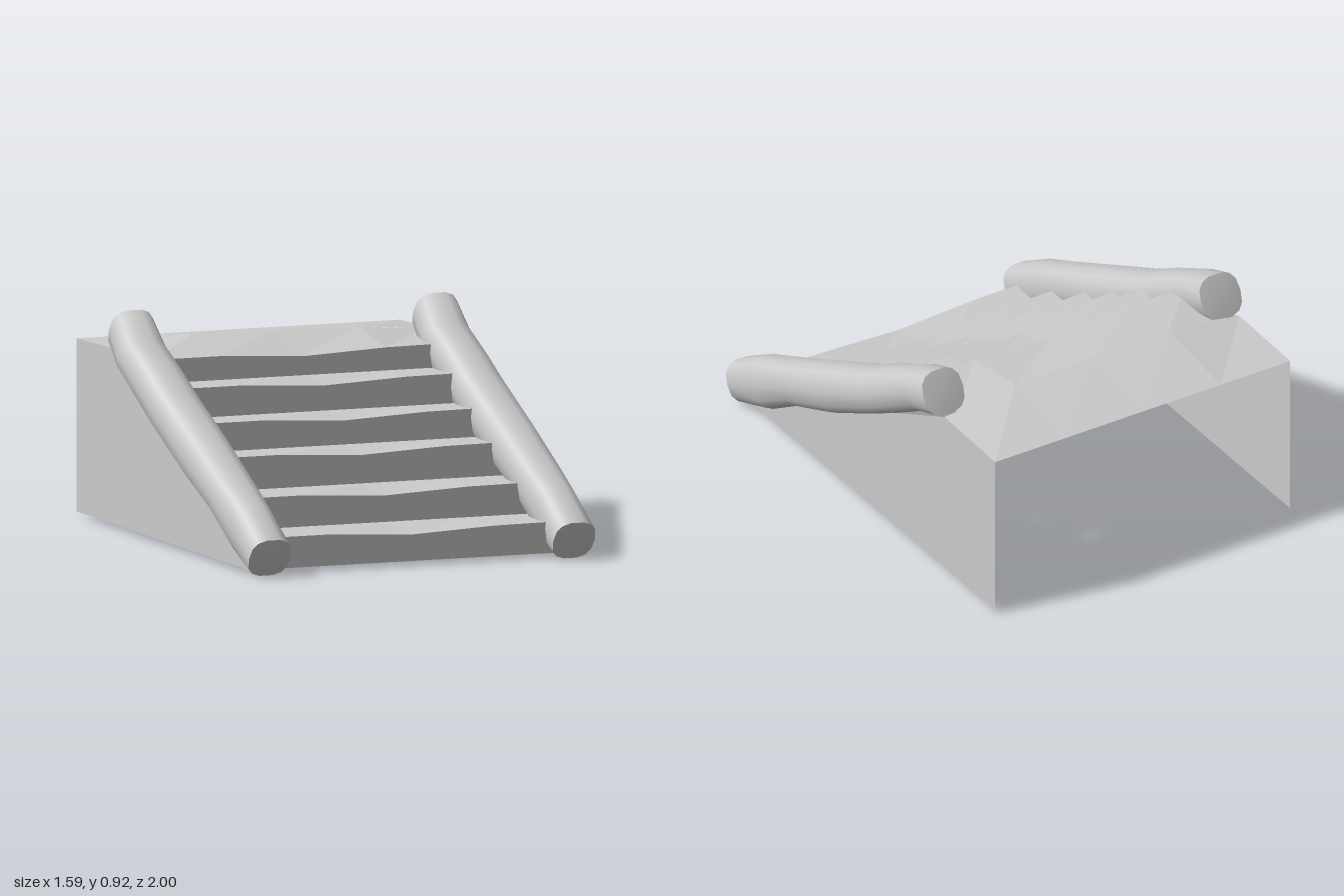
import * as THREE from 'three';
import { toCreasedNormals } from 'three/addons/utils/BufferGeometryUtils.js';

const material = new THREE.MeshStandardMaterial({ color: 0xcccccc, side: THREE.DoubleSide });

function makeGeometry(positions, index) {
  const g = new THREE.BufferGeometry();
  g.setAttribute('position', new THREE.Float32BufferAttribute(positions, 3));
  g.setIndex(index);
  return g;
}

function addMesh(parent, name, geometry) {
  const mesh = new THREE.Mesh(geometry, material);
  mesh.name = name;
  parent.add(mesh);
  return mesh;
}

// A row of points across the width at depth z; ys gives the height of each
const row = (xs, z, ys) => xs.map((x, i) => [x, ys[i], z]);

// Faceted sheet between two rows
function sheet(a, b) {
  const n = a.length, index = [];
  for (let i = 0; i < n - 1; i++) index.push(i, i + 1, n + i + 1, i, n + i + 1, n + i);
  const g = makeGeometry([...a, ...b].flat(), index).toNonIndexed();
  g.computeVertexNormals();
  return g;
}

// Worn log lofted through sections [zTop, yTop, zBottom, yBottom, xMin, xMax]
function logGeometry(sections, sides = 14) {
  const pos = [], index = [];
  const soft = v => Math.sign(v) * Math.pow(Math.abs(v), 0.75);
  for (const [zt, yt, zb, yb, x0, x1] of sections) {
    for (let j = 0; j < sides; j++) {
      const t = (j / sides) * Math.PI * 2;
      const c = soft(Math.cos(t)), s = soft(Math.sin(t));
      pos.push((x0 + x1) / 2 + (x1 - x0) / 2 * c,
        (yt + yb) / 2 + (yt - yb) / 2 * s,
        (zt + zb) / 2 + (zt - zb) / 2 * s);
    }
  }
  const last = (sections.length - 1) * sides;
  for (let i = 0; i < last; i += sides) {
    for (let j = 0; j < sides; j++) {
      const a = i + j, b = i + (j + 1) % sides, c = a + sides, d = b + sides;
      index.push(a, c, b, c, d, b);
    }
  }
  // End caps
  const front = pos.length / 3, back = front + 1;
  for (const [s, dy, dz] of [[sections[0], -0.004, 0.008], [sections.at(-1), 0.004, -0.008]]) {
    pos.push((s[4] + s[5]) / 2, (s[1] + s[3]) / 2 + dy, (s[0] + s[2]) / 2 + dz);
  }
  for (let j = 0; j < sides; j++) {
    const k = (j + 1) % sides;
    index.push(front, j, k, back, last + k, last + j);
  }
  return toCreasedNormals(makeGeometry(pos, index), 1.1);
}

export function createModel() {
  const model = new THREE.Group();
  model.name = 'stairs';

  // Steps: each riser has a sagging top edge, each tread a level back edge
  const xs = [-0.66, -0.37, 0, 0.37, 0.66];
  const sag = [0, 0, -0.02, -0.003, 0];
  const depths = [0.87, 0.59, 0.33, 0.12, -0.08, -0.29];
  const heights = [0.15, 0.276, 0.41, 0.525, 0.645, 0.74];
  const crest = [0.755, 0.79, 0.788, 0.783, 0.755];
  const level = y => xs.map(() => y);
  const steps = new THREE.Group();
  steps.name = 'steps';
  model.add(steps);
  depths.forEach((z, i) => {
    const foot = row(xs, z, level(i ? heights[i - 1] - 0.004 : 0.02));
    const nose = row(xs, z, sag.map(d => heights[i] + d));
    const rear = i < depths.length - 1
      ? row(xs, depths[i + 1], level(heights[i] - 0.004))
      : row(xs, -0.61, crest);
    addMesh(steps, 'riser', sheet(foot, nose));
    addMesh(steps, 'tread', sheet(nose, rear));
  });

  // Landing behind the top step
  const wide = [-0.72, -0.38, 0, 0.38, 0.72];
  addMesh(model, 'landing', sheet(
    row(wide, -0.61, [0.75, 0.79, 0.788, 0.783, 0.75]),
    row(wide, -1, level(0.74))));

  // Thin side walls
  const outline = [[1, 0.02], [1, 0.74], [0.61, 0.75], [-0.89, 0.02]];
  const wall = new THREE.ShapeGeometry(new THREE.Shape(outline.map(p => new THREE.Vector2(...p))));
  wall.rotateY(Math.PI / 2);
  for (const [name, x] of [['leftWall', 0.72], ['rightWall', -0.72]]) {
    const w = addMesh(model, name, wall);
    w.position.x = x;
  }

  // Sloping side logs, the same log on both sides
  const log = logGeometry([
    [1.0, 0.16, 0.915, 0.0, -0.757, -0.572],
    [0.8, 0.28, 0.70, 0.08, -0.757, -0.57],
    [0.6, 0.37, 0.50, 0.205, -0.767, -0.565],
    [0.3, 0.515, 0.2, 0.33, -0.775, -0.563],
    [0.0, 0.655, -0.10, 0.485, -0.785, -0.57],
    [-0.14, 0.735, -0.25, 0.57, -0.79, -0.577],
    [-0.32, 0.825, -0.43, 0.675, -0.795, -0.588],
    [-0.51, 0.92, -0.6, 0.75, -0.76, -0.568],
  ]);
  addMesh(model, 'rightLog', log);
  addMesh(model, 'leftLog', log).position.x = 1.354;

  return model;
}
